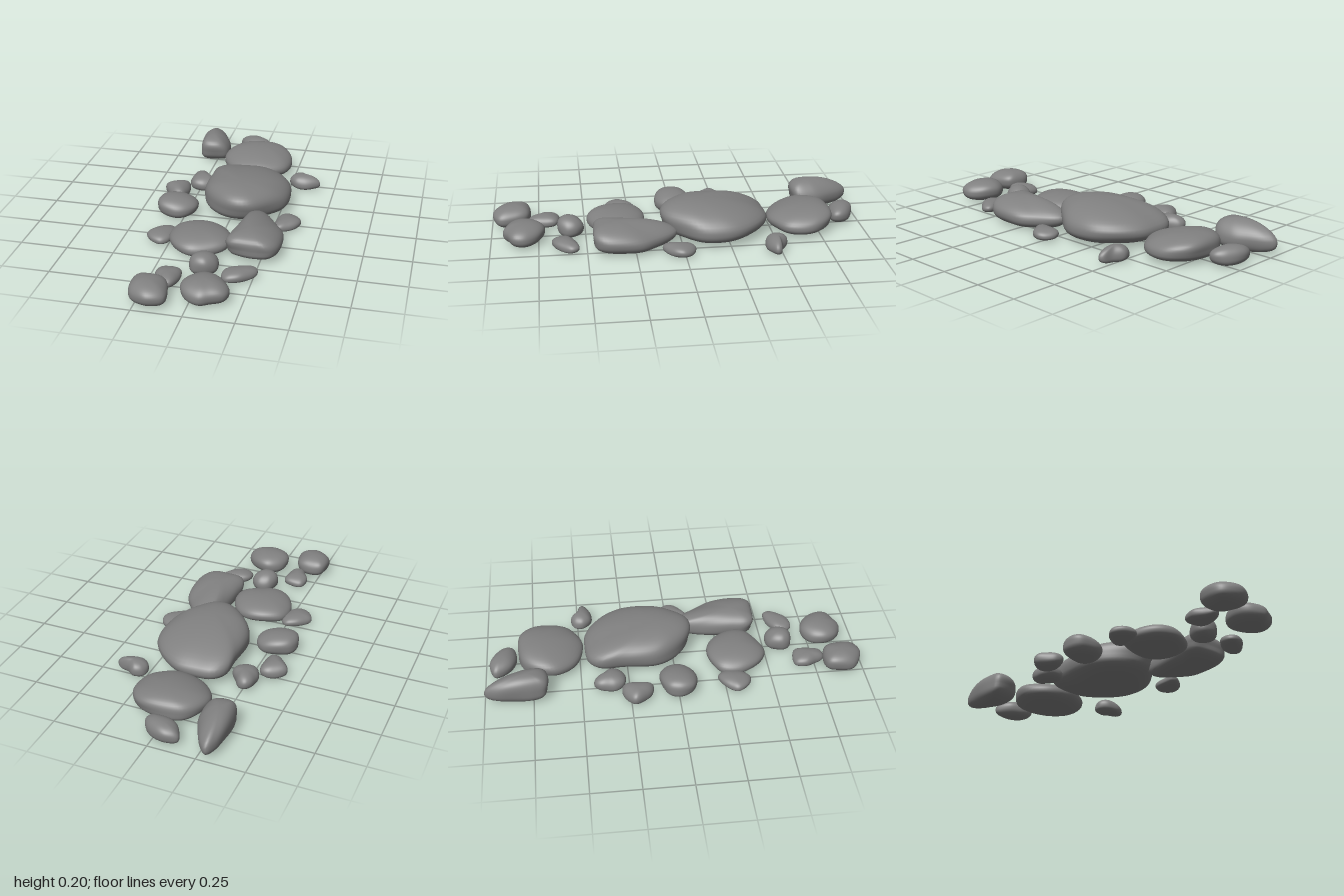
import * as THREE from 'three';

const SEGMENTS = 64; // points around each stone
const LEVELS = 24;   // rings from underside to crown

// Smooth pebble: a closed plan outline (hundredths of a unit, x/z pairs, clockwise from above)
// is shrunk towards the ground and towards an off-centre crown.
function stoneGeometry(plan, height, crown, waist) {
  const pts = [];
  for (let i = 0; i < plan.length; i += 2) pts.push(new THREE.Vector3(plan[i] / 100, 0, plan[i + 1] / 100));
  const outline = new THREE.CatmullRomCurve3(pts, true).getSpacedPoints(SEGMENTS).slice(0, SEGMENTS);
  const centre = new THREE.Box3().setFromPoints(outline).getCenter(new THREE.Vector3());
  const peak = crown ? new THREE.Vector3(crown[0] / 100, 0, crown[1] / 100) : centre;
  const mid = height * waist;
  const pos = [centre.x, 0, centre.z];
  const index = [];

  for (let i = 1; i < LEVELS; i++) {
    const t = (i / LEVELS - 0.5) * Math.PI;
    const top = t > 0;
    const e = top ? 0.94 : 0.78; // flatter underside, rounder top
    const shrink = Math.cos(t) ** e;
    const rise = Math.abs(Math.sin(t)) ** e;
    const y = top ? mid + (height - mid) * rise : mid * (1 - rise);
    const axis = centre.clone().lerp(peak, top ? rise ** 1.5 : 0);
    outline.forEach((p, j) => {
      // gentle unevenness of the upper and lower slopes, none at the waist
      const a = (j / SEGMENTS) * Math.PI * 2;
      const lump = 1 + 0.04 * Math.sin(3 * a + centre.x * 30) * Math.sin(2 * t);
      pos.push(
        axis.x + (p.x - centre.x) * shrink * lump,
        y,
        axis.z + (p.z - centre.z) * shrink * lump
      );
    });
  }
  pos.push(peak.x, height, peak.z);

  const last = pos.length / 3 - 1;
  const at = (i, j) => 1 + i * SEGMENTS + (j % SEGMENTS);
  for (let j = 0; j < SEGMENTS; j++) {
    index.push(0, at(0, j), at(0, j + 1));
    for (let i = 0; i < LEVELS - 2; i++) {
      index.push(at(i, j), at(i + 1, j), at(i, j + 1));
      index.push(at(i + 1, j), at(i + 1, j + 1), at(i, j + 1));
    }
    index.push(at(LEVELS - 2, j), last, at(LEVELS - 2, j + 1));
  }
  const geometry = new THREE.BufferGeometry();
  geometry.setAttribute('position', new THREE.Float32BufferAttribute(pos, 3));
  geometry.setIndex(index);
  geometry.computeVertexNormals();
  return geometry;
}

export function createModel() {
  const group = new THREE.Group();
  group.name = 'stones';
  const material = new THREE.MeshStandardMaterial({ color: 0x808080 }); // dark stone grey

  const stone = (name, height, plan, crown, waist = 0.45) => {
    const mesh = new THREE.Mesh(stoneGeometry(plan, height, crown, waist), material);
    mesh.name = name;
    group.add(mesh);
  };

  // Large stones, back to front
  stone('backLargeStone', 0.14,
    [-17.5, -63, -16, -72, -10, -80, 2, -82.5, 14, -80, 21, -72, 22, -64, 19.5, -56, 13, -51, 5, -48, -6, -50, -13, -55], [2, -71]);
  stone('centralStone', 0.2,
    [-16.5, -29, -16, -40, -11, -45.5, -2, -47, 9.5, -46.5, 20, -40, 27.5, -30, 29.5, -20, 28, -9, 20, 2, 13, 8, 5, 9.5, -3, 7, -12, -1, -16.5, -10], [4, -9]);
  stone('frontWedgeStone', 0.15,
    [12, 9, 14, 4, 17.5, 2.5, 21.5, 5, 28, 14, 33, 22, 34.5, 32, 33.5, 41, 30, 45.5, 24, 46.5, 16, 46, 10, 44.5, 7.5, 41, 8, 32, 10, 18], [18, 34]);
  stone('frontFlatStone', 0.108,
    [-24.5, 34, -23, 24, -15, 19, -5, 18, 3, 22, 8, 31, 7, 40, 0.5, 45.5, -10.5, 49, -19, 44.5]);

  // Medium stones
  stone('backTallStone', 0.16,
    [-30, -100, -26, -97, -21, -88, -18, -80, -18.5, -70.5, -24, -68, -32.5, -68.5, -34.5, -74, -34.5, -87, -33, -95], [-28, -78]);
  stone('middleRoundStone', 0.115,
    [-40, 1, -38, -5.5, -31, -9, -23.5, -9, -19, -5, -18.5, 2, -23, 8, -29, 10, -37, 7.5], [-32, 0], 0.5);
  stone('frontRightStone', 0.115,
    [-28.5, 88, -26.5, 80.5, -19.5, 79, -13, 81, -10, 88, -10, 96, -17, 99.5, -23.5, 97.5, -27.5, 94], [-20, 88], 0.5);
  stone('frontLeftStone', 0.115,
    [-5, 83.5, -3, 76, 4, 71.5, 13, 74.5, 18.5, 82, 17.5, 88, 11, 91.5, 6, 93.5, -2, 90], [6, 82], 0.5);

  // Small stones
  stone('backSmallStone', 0.1,
    [-14, -95, -9, -97.5, -3.5, -97, 3.5, -93, 6, -88.5, 5, -85, -2, -83.5, -9, -86, -13, -91], [-4, -91], 0.5);
  stone('leftOutlyingPebble', 0.085,
    [24.5, -48.5, 26, -52, 30.5, -53.5, 36, -50, 41, -48.5, 42, -46.5, 39, -44, 34, -42, 28.5, -42.5, 25, -46], [32, -48], 0.4);
  stone('rightBackPebble', 0.09,
    [-30.5, -36, -29.5, -41, -27, -43.5, -23.5, -43, -20, -38.5, -17, -34.5, -17.5, -30, -22, -27, -28, -28, -30.5, -32]);
  stone('rightOuterPebble', 0.085,
    [-42.5, -23, -40, -26.5, -34, -29.5, -30, -28.5, -28.5, -24, -29, -18, -31, -13.5, -35, -13.5, -39, -17]);
  stone('leftMiddlePebble', 0.062,
    [25.5, 6, 26, 0, 28, -4, 32, -5.5, 37, -3, 39, 1, 37.5, 5.5, 33, 9.5, 28.5, 11.5, 26, 10]);
  stone('rightFrontPebble', 0.062,
    [-37.5, 31, -35.5, 27, -31, 23, -25.5, 21.5, -22.5, 24.5, -23, 30, -25, 36, -28.5, 38.5, -34, 36.5]);
  stone('frontCentrePebble', 0.112,
    [-7, 60, -4, 52.5, 2, 51, 6.5, 54.5, 7, 60, 2.5, 64.5, -4.5, 64], [-0.5, 59]);
  stone('frontLeftPebble', 0.062,
    [10.5, 65.5, 10.5, 60.5, 14, 57, 20, 54.5, 25.5, 54.5, 27, 58, 22, 65, 18, 67.5, 13, 68]);
  stone('frontRightPebble', 0.068,
    [-21.5, 70, -20, 64.5, -15, 63.5, -9.5, 65.5, -9, 72.5, -11.5, 79, -16, 80, -19, 75.5]);

  return group;
}
